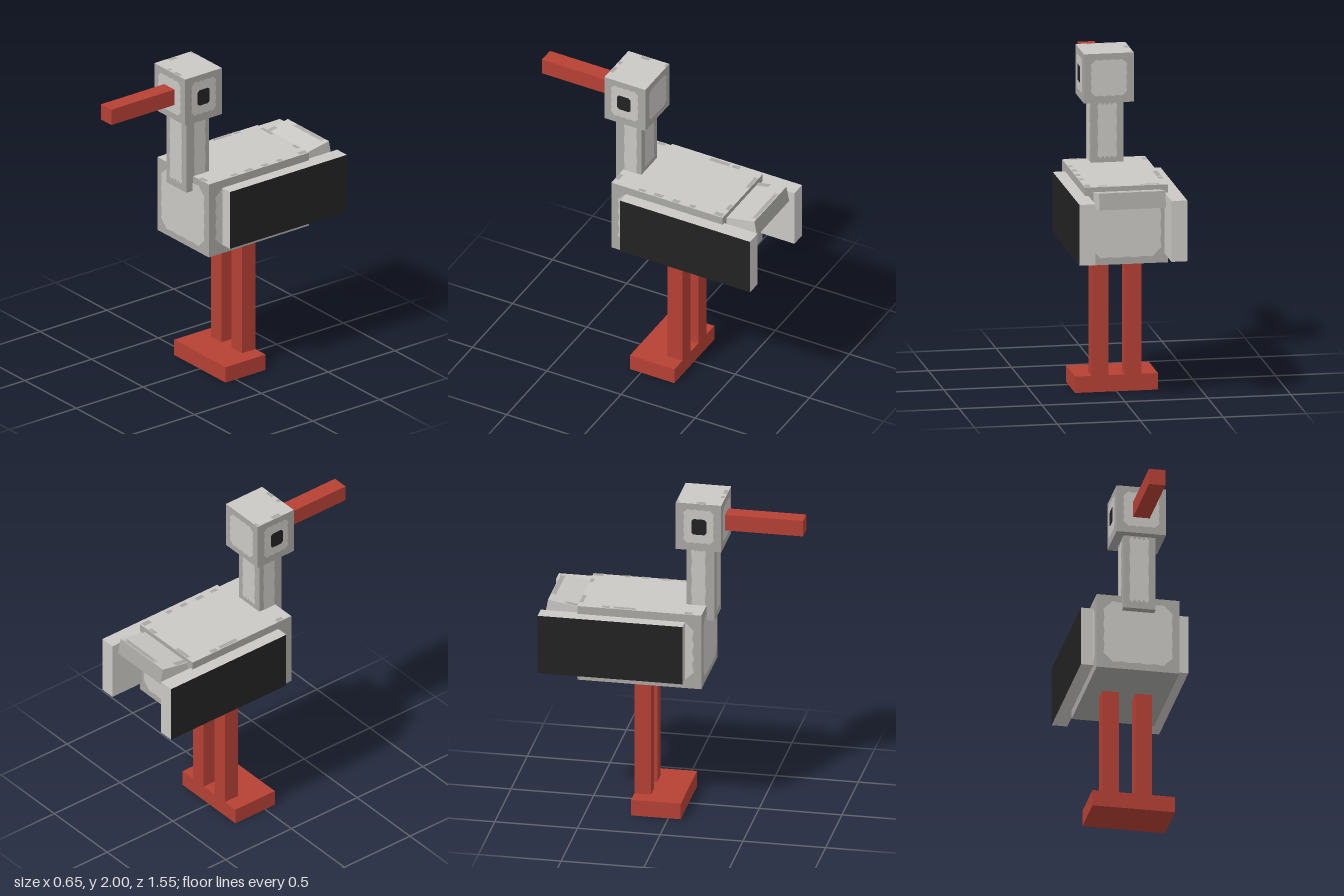
import * as THREE from 'three';

const mat = (name, color) => {
  const m = new THREE.MeshStandardMaterial({ color });
  m.name = name;
  return m;
};

export function createModel() {
  const light = mat('light grey feathers', 0xcac8c4);
  const dark = mat('dark grey feathers', 0xa9a8a4);
  const red = mat('red beak and legs', 0xb54034);
  const black = mat('black', 0x222222);
  const bird = new THREE.Group();
  bird.name = 'longLeggedBird';

  // Box from min/max corners; material may be an array for +x -x +y -y +z -z
  const box = (name, [x0, x1], [y0, y1], [z0, z1], material, parent = bird) => {
    const mesh = new THREE.Mesh(new THREE.BoxGeometry(x1 - x0, y1 - y0, z1 - z0), material);
    mesh.position.set((x0 + x1) / 2, (y0 + y1) / 2, (z0 + z1) / 2);
    mesh.name = name;
    parent.add(mesh);
    return mesh;
  };

  // Flat plate with cut corners and slightly uneven edges, laid on one side of a box
  const turns = {
    front: [0, 0], back: [0, Math.PI], left: [0, Math.PI / 2],
    right: [0, -Math.PI / 2], top: [-Math.PI / 2, 0],
  };
  const plate = (name, side, w, h, x, y, z, material, wobble = 0.006, parent = bird) => {
    const a = w / 2, b = h / 2, c = Math.min(w, h) * 0.14, pts = [];
    const corners = [[-a + c, -b], [a - c, -b], [a, -b + c], [a, b - c],
      [a - c, b], [-a + c, b], [-a, b - c], [-a, -b + c]];
    corners.forEach(([px, py], i) => {
      const [qx, qy] = corners[(i + 1) % 8];
      const steps = i % 2 ? 1 : 6;
      for (let k = 0; k < steps; k++) {
        const t = k / steps, s = 1 - (k % 2 ? wobble : 0) / Math.min(a, b);
        pts.push(new THREE.Vector2((px + (qx - px) * t) * s, (py + (qy - py) * t) * s));
      }
    });
    const mesh = new THREE.Mesh(new THREE.ShapeGeometry(new THREE.Shape(pts)), material);
    mesh.rotation.set(turns[side][0], turns[side][1], 0);
    mesh.position.set(x, y, z);
    mesh.name = name;
    parent.add(mesh);
  };
  const e = 0.003;
  const darkSides = [dark, dark, light, dark, dark, dark];

  // Body, neck and head: dark edges with pale patches in the middle
  box('body', [-0.25, 0.25], [0.85, 1.325], [-0.55, 0.2], darkSides);
  plate('bodyFrontPatch', 'front', 0.42, 0.395, 0, 1.088, 0.2 + e, light);
  plate('bodyBackPatch', 'back', 0.42, 0.395, 0, 1.088, -0.55 - e, light);
  box('neck', [-0.097, 0.097], [1.23, 1.7], [0.08, 0.25], darkSides);
  plate('neckFrontPatch', 'front', 0.12, 0.43, -0.003, 1.482, 0.25 + e, light);
  plate('neckBackPatch', 'back', 0.12, 0.34, 0, 1.52, 0.08 - e, light);
  box('head', [-0.15, 0.15], [1.7, 2], [0.025, 0.3], darkSides);
  plate('headFrontPatch', 'front', 0.22, 0.225, 0, 1.852, 0.3 + e, light);
  plate('headBackPatch', 'back', 0.22, 0.225, 0, 1.852, 0.025 - e, light);

  // Beak
  box('beak', [-0.05, 0.05], [1.8, 1.9], [0.3, 0.775], red);

  // Paired parts
  for (const s of [1, -1]) {
    const side = s > 0 ? 'left' : 'right';
    const span = (a, b) => (s > 0 ? [a, b] : [-b, -a]);
    plate(side + 'BodyPatch', side, 0.66, 0.37, s * (0.25 + e), 1.09, -0.175, light);
    plate(side + 'NeckPatch', side, 0.09, 0.43, s * (0.097 + e), 1.482, 0.152, light);
    plate(side + 'HeadPatch', side, 0.185, 0.22, s * (0.15 + e), 1.855, 0.163, light);
    plate(side + 'Eye', side, 0.09, 0.1, s * (0.15 + 2 * e), 1.854, 0.166, black, 0);

    // Wing with black outer face
    const faces = [light, light, light, light, light, light];
    faces[s > 0 ? 0 : 1] = black;
    box(side + 'Wing', span(0.23, 0.325), [0.905, 1.275], [-0.775, 0.1], faces);

    box(side + 'Leg', span(0.05, 0.15), [0.1, 0.85], [-0.225, -0.125], red);
  }
  box('foot', [-0.25, 0.25], [0, 0.1], [-0.225, 0.075], red);

  // Tail, tilted up towards its tip
  const tail = new THREE.Group();
  tail.name = 'tail';
  tail.position.set(0, 1.33, -0.737);
  tail.rotation.x = 0.183;
  bird.add(tail);
  box('tailSlab', [-0.2, 0.2], [-0.1, 0], [0, 0.3], [light, light, light, dark, dark, dark], tail);
  plate('tailTipMark', 'top', 0.3, 0.03, 0.03, e, 0.017, dark, 0.003, tail);
  plate('tailSideMark', 'top', 0.035, 0.1, -0.181, e, 0.15, dark, 0.003, tail);

  // Small dark marks along the upper edges: x, z, width, depth
  const bodyMarks = [[-0.235, -0.38, 0.03, 0.05], [-0.235, -0.27, 0.03, 0.14],
    [-0.235, 0.12, 0.03, 0.05], [0.23, -0.515, 0.035, 0.06], [0.235, -0.34, 0.03, 0.04],
    [0.235, -0.23, 0.03, 0.05], [0.233, -0.11, 0.03, 0.06], [0.235, 0.0, 0.025, 0.05],
    [0.18, 0.185, 0.06, 0.03], [-0.14, -0.537, 0.12, 0.025], [0.14, -0.537, 0.06, 0.025]];
  for (const [x, z, w, d] of bodyMarks) plate('bodyTopMark', 'top', w, d, x, 1.325 + e, z, dark, 0.002);
  const headMarks = [[-0.133, 0.175, 0.03, 0.06], [-0.02, 0.286, 0.03, 0.025],
    [0.06, 0.286, 0.06, 0.025], [-0.13, 0.034, 0.035, 0.015]];
  for (const [x, z, w, d] of headMarks) plate('headTopMark', 'top', w, d, x, 2, z, dark, 0.002);
  bird.children.filter((m) => m.name === 'headTopMark').forEach((m) => { m.position.y += 0.001; });

  return bird;
}
